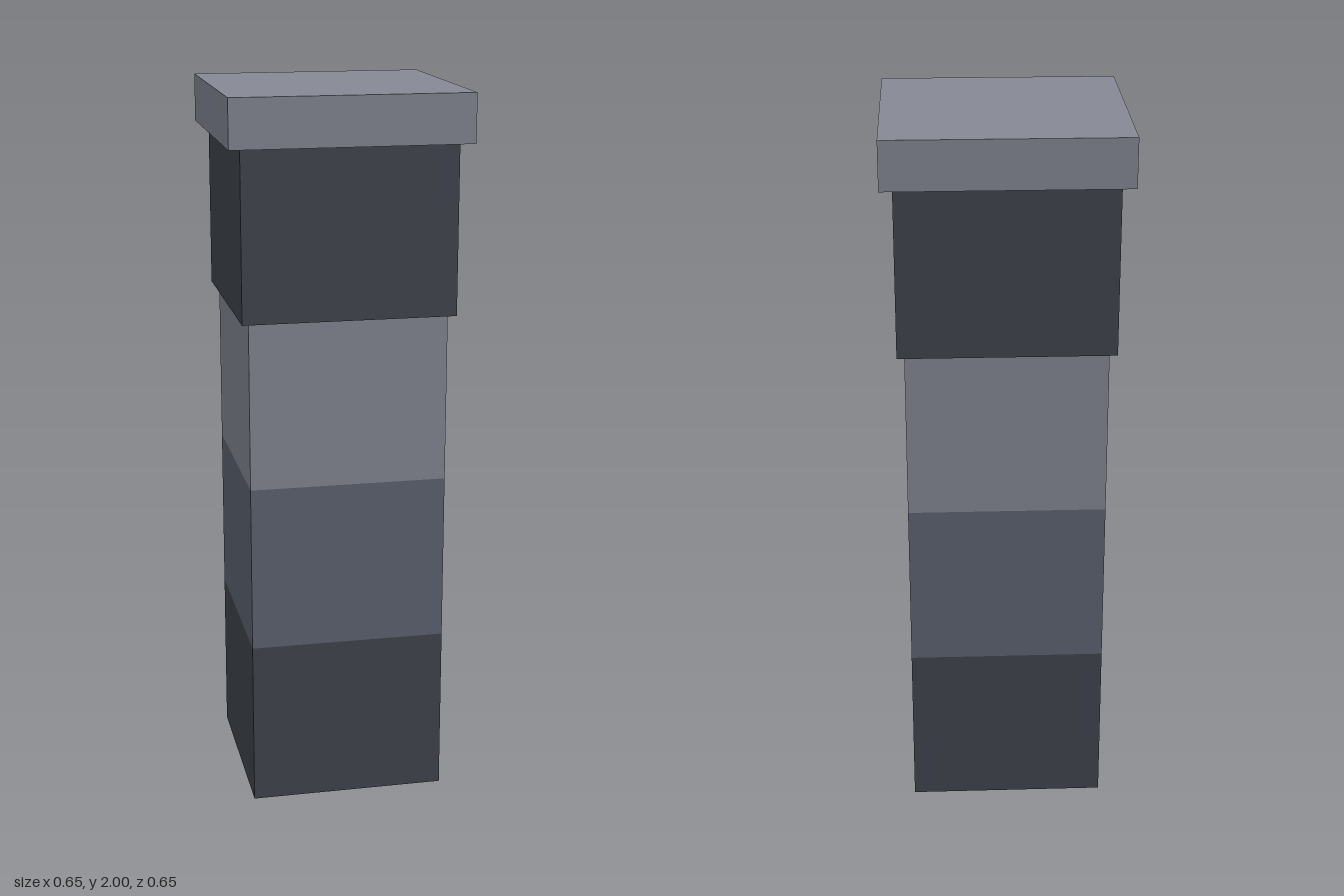
import * as THREE from 'three';

function paint(name, color) {
  const material = new THREE.MeshStandardMaterial({ color });
  material.name = name;
  return material;
}

export function createModel() {
  const model = new THREE.Group();
  model.name = 'squarePillar';

  const dark = paint('charcoal', 0x42464e);
  const mid = paint('slate', 0x606673);
  const light = paint('paleGrey', 0x868a95);

  // Square blocks stacked from the ground up: name, width, height, colour
  const block = 0.4667;
  const blocks = [
    ['shaftBase', 0.547, block, dark],
    ['shaftMiddle', 0.547, block, mid],
    ['shaftTop', 0.547, block, light],
    ['collar', 0.587, block, dark],
    ['cap', 0.655, 2 - 4 * block, light],
  ];

  let y = 0;
  for (const [name, width, height, material] of blocks) {
    const mesh = new THREE.Mesh(new THREE.BoxGeometry(width, height, width), material);
    mesh.name = name;
    mesh.position.y = y + height / 2;
    model.add(mesh);
    y += height;
  }

  return model;
}
